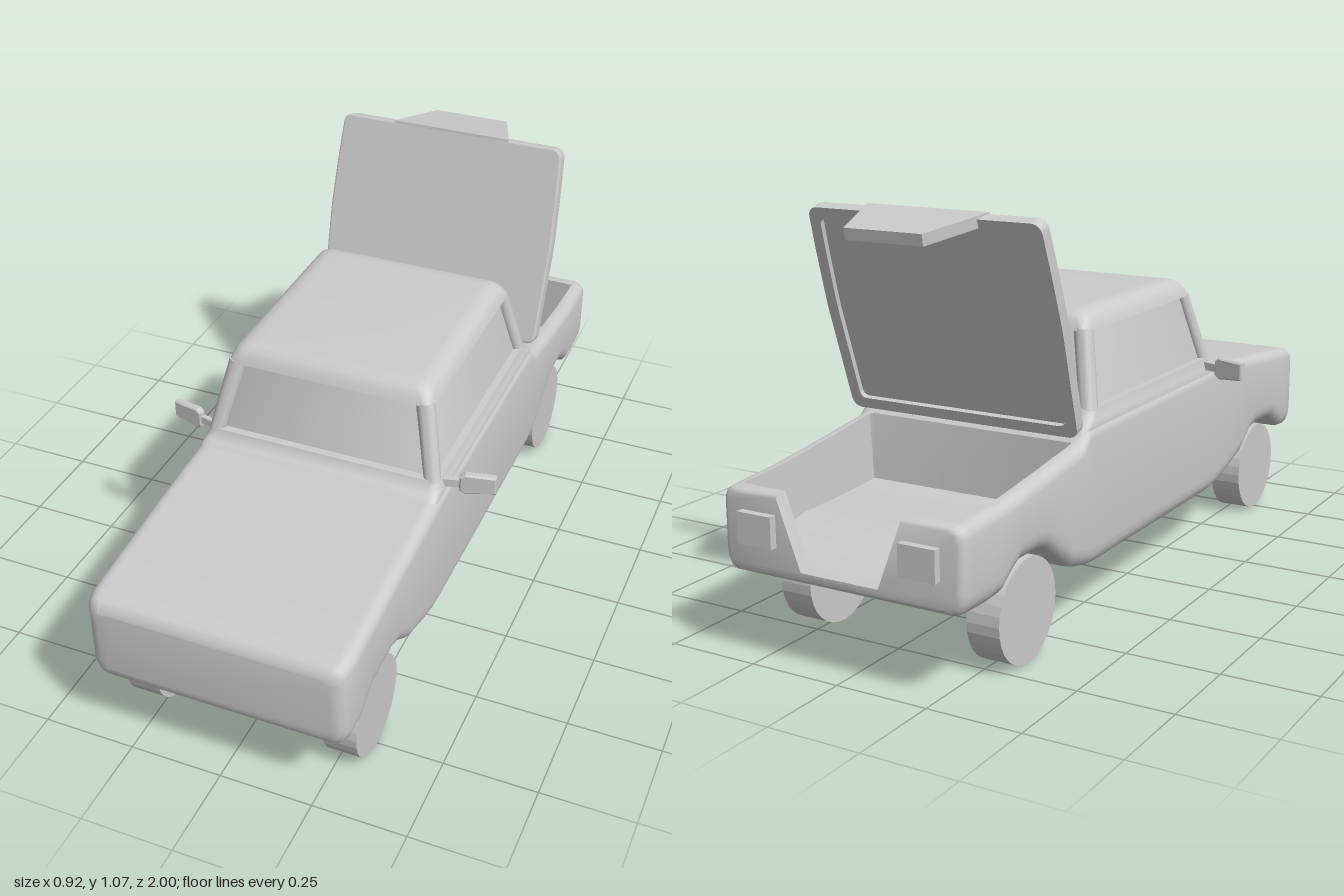
import * as THREE from 'three';
import { toCreasedNormals } from 'three/addons/utils/BufferGeometryUtils.js';

const grey = new THREE.MeshStandardMaterial({ color: 0xcccccc });

function add(parent, name, geometry, x = 0, y = 0, z = 0) {
  const mesh = new THREE.Mesh(geometry, grey);
  mesh.name = name;
  mesh.position.set(x, y, z);
  parent.add(mesh);
  return mesh;
}

// Skin counter-clockwise rings ordered from +z to -z, with flat end caps.
function loft(rings, crease = 0.7) {
  const n = rings[0].length, pos = [], index = [];
  rings.forEach(r => r.forEach(p => pos.push(p.x, p.y, p.z)));
  for (let i = 0; i < rings.length - 1; i++) {
    for (let j = 0; j < n; j++) {
      const a = i * n + j, b = i * n + (j + 1) % n, c = b + n, d = a + n;
      index.push(a, d, b, b, d, c);
    }
  }
  const flat = r => r.map(p => new THREE.Vector2(p.x, p.y));
  const last = (rings.length - 1) * n;
  THREE.ShapeUtils.triangulateShape(flat(rings[0]), []).forEach(f => index.push(f[0], f[1], f[2]));
  THREE.ShapeUtils.triangulateShape(flat(rings[rings.length - 1]), [])
    .forEach(f => index.push(last + f[0], last + f[2], last + f[1]));
  const g = new THREE.BufferGeometry();
  g.setAttribute('position', new THREE.Float32BufferAttribute(pos, 3));
  g.setIndex(index);
  return toCreasedNormals(g, crease);
}

// Vertical loft of rounded rectangles, rows [y, x0, x1, zFront, zBack, radius] from top to bottom.
function tower(rows) {
  const rings = rows.map(([y, x0, x1, zf, zb, r]) => {
    const ring = [];
    [[x1, -zb, -1, -1], [x0, -zb, 1, -1], [x0, -zf, 1, 1], [x1, -zf, -1, 1]].forEach(([cx, cy, sx, sy], q) => {
      for (let k = 0; k <= 4; k++) {
        const a = (q + k / 4) * Math.PI / 2;
        ring.push(new THREE.Vector3(cx + r * (sx + Math.cos(a)), cy + r * (sy + Math.sin(a)), y));
      }
    });
    return ring;
  });
  return loft(rings).rotateX(-Math.PI / 2);
}

// Body cross-section: rounded box whose top can drop to a trunk floor.
function bodyRing([z, top, bottom, half, floor = top, innerTop = 0.305, innerLow = 0.295]) {
  const side = [], r = 0.03, low = 0.05;
  for (let k = 0; k <= 4; k++) {
    const a = k / 4 * Math.PI / 2;
    side.push([half - r + r * Math.sin(a), bottom + low - low * Math.cos(a)]);
  }
  for (let k = 0; k <= 4; k++) {
    const a = k / 4 * Math.PI / 2;
    side.push([half - r + r * Math.cos(a), top - r + r * Math.sin(a)]);
  }
  side.push([innerTop, top], [innerLow, floor]);
  const mirrored = side.map(([x, y]) => [-x, y]).reverse();
  return [...side, ...mirrored].map(([x, y]) => new THREE.Vector3(Math.min(x, 1), y, z));
}

function polygon(points) {
  return new THREE.Shape(points.map(([x, y]) => new THREE.Vector2(x, y)));
}

// Closed outline with softened corners.
function softOutline(points, r, Type = THREE.Shape) {
  const s = new Type(), v = points.map(p => new THREE.Vector2(...p));
  v.forEach((p, i) => {
    const toward = q => p.clone().add(q.clone().sub(p).setLength(r));
    const a = toward(v[(i + v.length - 1) % v.length]), b = toward(v[(i + 1) % v.length]);
    if (i) s.lineTo(a.x, a.y); else s.moveTo(a.x, a.y);
    s.quadraticCurveTo(p.x, p.y, b.x, b.y);
  });
  s.closePath();
  return s;
}

export function createModel() {
  const car = new THREE.Group();
  car.name = 'car';

  // Body with bonnet, sills, wheel arches, open trunk and notched tail
  const stations = [
    [1.0, 0.435, 0.255, 0.31], [0.994, 0.452, 0.236, 0.327], [0.982, 0.464, 0.225, 0.337],
    [0.96, 0.472, 0.22, 0.343], [0.91, 0.478, 0.225, 0.345], [0.87, 0.482, 0.25, 0.345],
    [0.83, 0.487, 0.273, 0.345], [0.78, 0.491, 0.278, 0.345], [0.69, 0.5, 0.278, 0.345],
    [0.65, 0.504, 0.265, 0.345], [0.58, 0.51, 0.215, 0.345], [0.48, 0.518, 0.183, 0.345],
    [0.4, 0.524, 0.162, 0.344], [0.35, 0.525, 0.156, 0.343], [-0.36, 0.525, 0.156, 0.343],
    [-0.39, 0.52, 0.16, 0.344], [-0.425, 0.488, 0.168, 0.345], [-0.43, 0.486, 0.169, 0.345, 0.31],
    [-0.48, 0.479, 0.185, 0.345, 0.305], [-0.55, 0.47, 0.235, 0.345, 0.302], [-0.6, 0.463, 0.27, 0.345, 0.3],
    [-0.64, 0.458, 0.279, 0.345, 0.3], [-0.73, 0.447, 0.278, 0.345, 0.298], [-0.77, 0.443, 0.255, 0.345, 0.29],
    [-0.81, 0.439, 0.225, 0.344, 0.275], [-0.86, 0.436, 0.22, 0.343, 0.262], [-0.942, 0.431, 0.22, 0.341, 0.25],
    [-0.945, 0.431, 0.22, 0.341, 0.25, 0.175, 0.11], [-0.965, 0.43, 0.221, 0.339, 0.25, 0.175, 0.11],
    [-0.975, 0.427, 0.225, 0.333, 0.25, 0.175, 0.11], [-0.98, 0.42, 0.232, 0.325, 0.25, 0.175, 0.11],
  ];
  add(car, 'body', loft(stations.map(bodyRing)));

  // Cabin: belt, roof, corner pillars and recessed glass
  const cabin = new THREE.Group();
  cabin.name = 'cabin';
  car.add(cabin);
  const slab = rows => tower(rows.map(([y, x, zf, zb, r]) => [y, -x, x, zf, zb, r]));
  add(cabin, 'belt', slab([
    [0.56, 0.327, 0.362, -0.36, 0.025], [0.545, 0.33, 0.368, -0.367, 0.025],
    [0.532, 0.334, 0.382, -0.382, 0.025], [0.522, 0.336, 0.405, -0.4, 0.025], [0.5, 0.336, 0.42, -0.41, 0.025],
  ]));
  add(cabin, 'roof', slab([
    [0.795, 0.235, 0.25, -0.25, 0.025], [0.791, 0.255, 0.274, -0.275, 0.03], [0.781, 0.27, 0.291, -0.293, 0.035],
    [0.766, 0.28, 0.302, -0.303, 0.03], [0.745, 0.287, 0.31, -0.31, 0.025],
  ]));
  add(cabin, 'windows', slab([[0.75, 0.267, 0.288, -0.288, 0.004], [0.555, 0.308, 0.342, -0.34, 0.004]]));
  for (const s of [1, -1]) {
    const span = (a, b) => s > 0 ? [a, b] : [-b, -a];
    add(cabin, 'frontPillar', tower([
      [0.75, ...span(0.237, 0.286), 0.309, 0.265, 0.02], [0.555, ...span(0.283, 0.328), 0.363, 0.322, 0.02]]));
    add(cabin, 'rearPillar', tower([
      [0.75, ...span(0.237, 0.286), -0.262, -0.309, 0.02], [0.555, ...span(0.283, 0.328), -0.313, -0.361, 0.02]]));
  }

  // Raised trunk lid: skin, raised inner rim and tail flap
  const lid = new THREE.Group();
  lid.name = 'trunkLid';
  lid.position.set(0, 0.52, -0.415);
  lid.rotation.x = -0.31;
  car.add(lid);
  const edge = [[-0.338, 0], [0.338, 0], [0.345, 0.3], [0.34, 0.45], [0.333, 0.575], [-0.333, 0.575], [-0.34, 0.45], [-0.345, 0.3]];
  const inner = edge.map(([x, y]) => [x * 0.91, 0.03 + y * 0.9]);
  add(lid, 'lidSkin', new THREE.ExtrudeGeometry(softOutline(edge, 0.03),
    { depth: 0.012, bevelSize: 0.006, bevelOffset: -0.006, bevelThickness: 0.006, bevelSegments: 2 }), 0, 0, -0.018);
  const rim = softOutline(edge, 0.03);
  rim.holes.push(softOutline(inner, 0.02, THREE.Path));
  add(lid, 'lidRim', new THREE.ExtrudeGeometry(rim, { depth: 0.028, bevelEnabled: false }), 0, 0, -0.038);
  const flap = add(car, 'lidFlap', new THREE.ExtrudeGeometry(
    polygon([[-0.175, 0], [0.175, 0], [0.11, 0.19], [-0.11, 0.19]]), { depth: 0.03, bevelEnabled: false }), 0, 1.041, -0.585);
  flap.rotation.x = -(Math.PI / 2 + 0.18);

  // Paired parts
  for (const s of [1, -1]) {
    for (const [name, z] of [['frontWheel', 0.75], ['rearWheel', -0.665]]) {
      const wheel = new THREE.CylinderGeometry(0.133, 0.133, 0.09, 32).rotateZ(Math.PI / 2);
      add(car, name, toCreasedNormals(wheel, 0.1), s * 0.275, 0.133, z);
    }
    add(car, 'tailLight', new THREE.BoxGeometry(0.1, 0.08, 0.04), s * 0.23, 0.34, -0.98);

    const mirror = new THREE.Group();
    mirror.name = 'sideMirror';
    mirror.position.set(s * 0.32, 0.54, 0.325);
    mirror.rotation.y = s * 0.25;
    car.add(mirror);
    add(mirror, 'mirrorArm', new THREE.BoxGeometry(0.07, 0.022, 0.014), s * 0.03, 0, 0);
    const head = [[0.05, -0.02], [0.065, -0.03], [0.145, -0.023], [0.145, 0.027], [0.065, 0.031], [0.05, 0.022]];
    add(mirror, 'mirrorHead', new THREE.ExtrudeGeometry(polygon(head.map(([x, y]) => [s * x, y])),
      { depth: 0.014, bevelSize: 0.004, bevelOffset: -0.004, bevelThickness: 0.004, bevelSegments: 1 }), 0, 0, -0.007);
  }
  return car;
}
